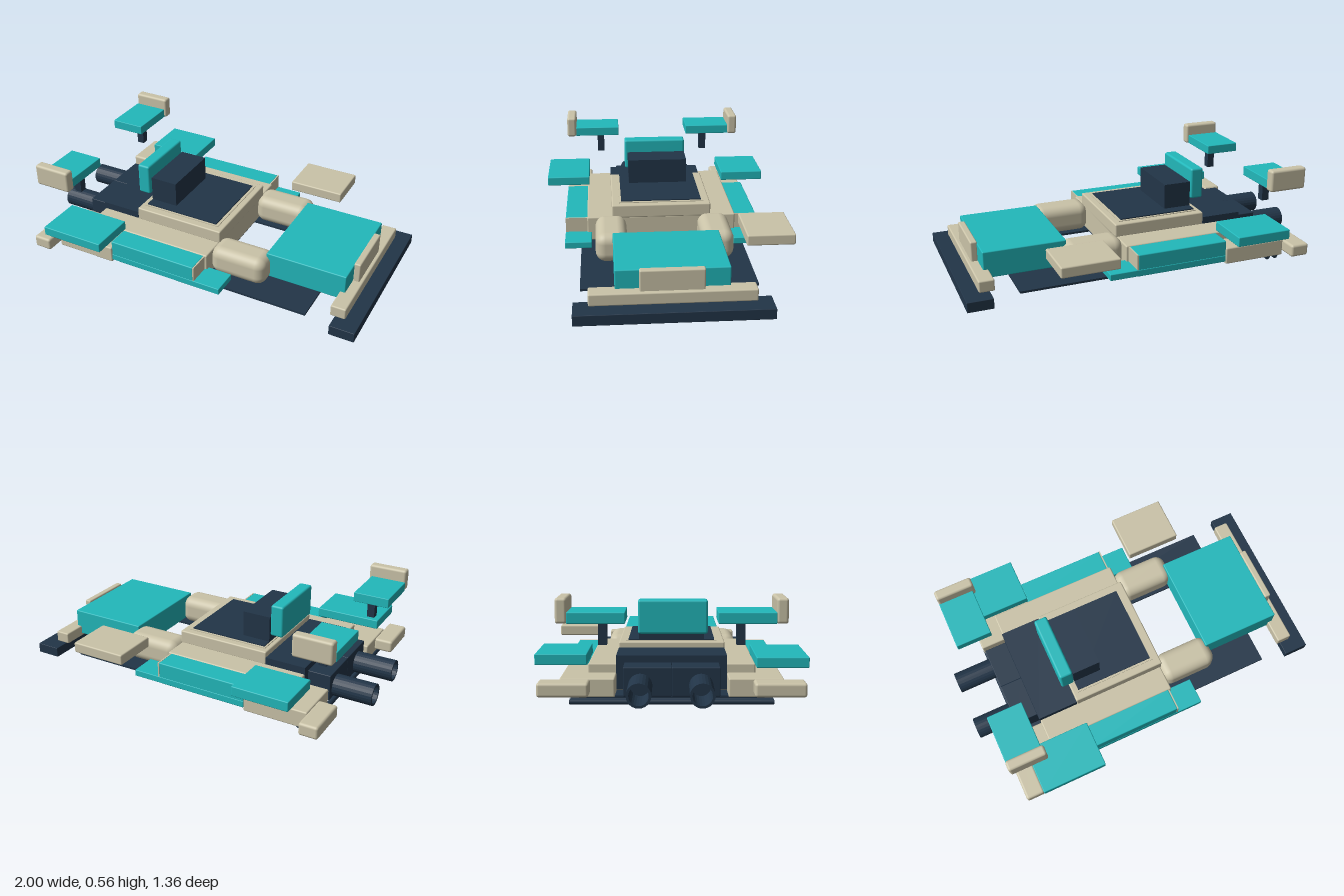
import * as THREE from 'three';
import { RoundedBoxGeometry } from 'three/addons/geometries/RoundedBoxGeometry.js';

const mat = (name, color, side = THREE.FrontSide) => {
  const m = new THREE.MeshStandardMaterial({ color, side });
  m.name = name;
  return m;
};

export function createModel() {
  const model = new THREE.Group();
  model.name = 'openWheelRacer';
  const teal = mat('teal', 0x22b8bb);
  const cream = mat('cream', 0xcac3a8);
  const navy = mat('navy', 0x223548, THREE.DoubleSide);

  const add = (name, geo, material, x, y, z) => {
    const mesh = new THREE.Mesh(geo, material);
    mesh.name = name;
    mesh.position.set(x, y, z);
    model.add(mesh);
    return mesh;
  };
  // Block given by its [min, max] range on each axis; r rounds the edges
  const block = (name, m, [x0, x1], [y0, y1], [z0, z1], r = 0) => {
    const s = [x1 - x0, y1 - y0, z1 - z0];
    const geo = r ? new RoundedBoxGeometry(...s, 4, r) : new THREE.BoxGeometry(...s);
    return add(name, geo, m, (x0 + x1) / 2, (y0 + y1) / 2, (z0 + z1) / 2);
  };
  // The same block on both sides of the car
  const pair = (name, m, x, y, [z0, z1], r = 0) => {
    block(name + 'Near', m, x, y, [z0, z1], r);
    block(name + 'Far', m, x, y, [-z1, -z0], r);
  };

  // Floor: centre panel and two long side strips
  block('centreFloor', navy, [-0.75, 0.1], [0.04, 0.052], [-0.2, 0.2]);
  pair('sideFloor', navy, [-0.75, 0.715], [0.04, 0.052], [0.2, 0.46]);

  // Hull and cockpit
  block('hull', cream, [-0.65, 0.112], [0.055, 0.195], [-0.425, 0.425], 0.008);
  block('cockpitSurround', cream, [-0.42, 0.118], [0.19, 0.266], [-0.282, 0.282], 0.008);
  block('cockpitRim', cream, [-0.395, 0.082], [0.262, 0.27], [-0.245, 0.24]);
  block('cockpitPanel', navy, [-0.385, 0.066], [0.266, 0.276], [-0.232, 0.228]);
  block('seatBlock', navy, [-0.385, 0.225 - 0.45], [0.274, 0.42], [-0.175, 0.173]);
  block('headrest', teal, [-0.465, -0.39], [0.315, 0.495], [-0.178, 0.19], 0.012);

  // Nose and front wing
  block('nose', teal, [0.405, 0.865], [0.075, 0.225], [-0.29, 0.285], 0.006);
  block('noseTip', cream, [0.862, 0.9], [0.08, 0.235], [-0.16, 0.165], 0.008);
  block('frontFlap', cream, [0.835, 0.92], [0.06, 0.125], [-0.42, 0.417], 0.008);
  block('frontWing', navy, [0.86, 1], [0, 0.057], [-0.497, 0.493], 0.003);
  pair('frontPod', cream, [0.1, 0.43], [0.05, 0.215], [0.203, 0.378], 0.055);

  // Side pods with inlets and sills
  pair('sidePod', teal, [-0.43, 0.092], [0.065, 0.19], [0.42, 0.548], 0.006);
  pair('podInlet', cream, [0.091, 0.099], [0.1, 0.189], [0.42, 0.548]);
  pair('sill', teal, [-0.43, 0.252], [0.068, 0.105], [0.4, 0.55], 0.004);

  // Rear side boxes, bumpers and wheel covers
  pair('rearBox', cream, [-0.79, -0.43], [0.052, 0.147], [0.28, 0.553], 0.008);
  pair('rearBumper', cream, [-0.893, -0.787], [0.075, 0.145], [0.4, 0.652], 0.014);
  block('rearCoverNear', teal, [-0.79, -0.418], [0.2, 0.253], [0.415, 0.675], 0.005);
  block('rearCoverFar', teal, [-0.745, -0.43], [0.205, 0.26], [-0.68, -0.42], 0.005);
  block('frontCover', cream, [0.242, 0.562], [0.193, 0.253], [-0.68, -0.42], 0.008);

  // Engine
  block('engineCover', navy, [-0.652, -0.42], [0.06, 0.235], [-0.282, 0.28]);
  pair('gearbox', navy, [-0.78, -0.65], [0.055, 0.2], [0, 0.24], 0.004);

  for (const [side, z] of [['Near', 0.145], ['Far', -0.155]]) {
    // Hollow exhaust pipe: outer wall, rim, inner wall and end cap
    const profile = [[0.06, 0], [0.06, 0.35], [0.048, 0.35], [0.048, 0.15], [0, 0.15]]
      .map(([r, l]) => new THREE.Vector2(r, l));
    const pipe = new THREE.LatheGeometry(profile, 24).toNonIndexed();
    pipe.computeVertexNormals();
    add('exhaust' + side, pipe, navy, -0.65, 0.11, z).rotation.z = Math.PI / 2;
  }

  // Rear wing halves on short posts
  pair('wingPost', navy, [-0.8, -0.757], [0.317, 0.437], [0.315, 0.358]);
  pair('rearWing', teal, [-0.907, -0.705], [0.436, 0.49], [0.22, 0.498], 0.004);
  pair('wingEndplate', cream, [-0.907, -0.69], [0.435, 0.558], [0.495, 0.552], 0.014);

  // Twin cross rods under the tail
  for (const x of [-0.777, -0.727]) {
    const rod = new THREE.CylinderGeometry(0.015, 0.015, 1.01, 12);
    add('crossRod', rod, navy, x, 0.028, 0).rotation.x = Math.PI / 2;
  }
  return model;
}
